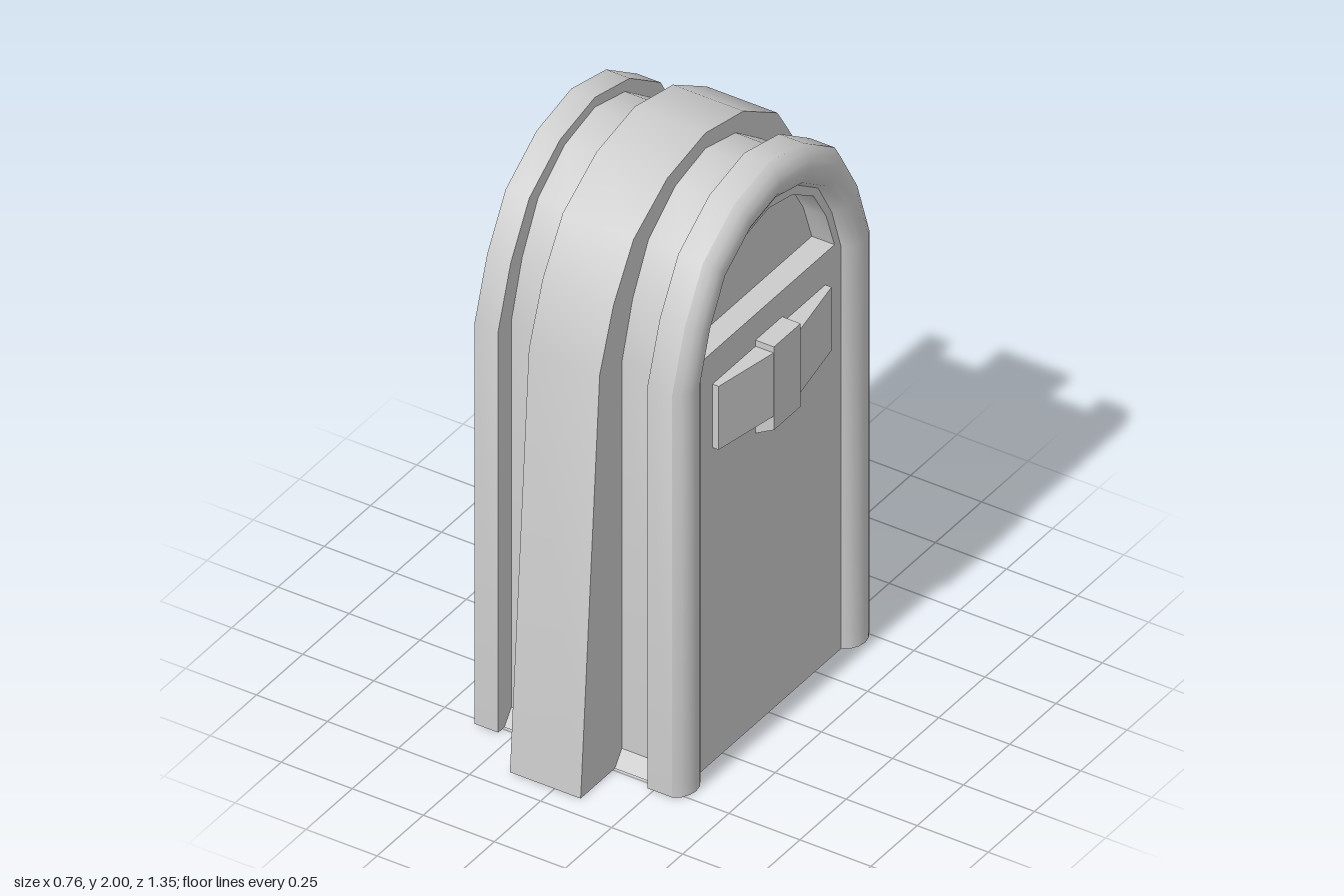
import * as THREE from 'three';
import { toCreasedNormals } from 'three/addons/utils/BufferGeometryUtils.js';

const CREASE = 0.6;
const FACE_X = 0.315; // plane of the front panel
const ARCH = [[1, 0], [0.87, 0.386], [0.68, 0.71], [0.36, 0.922]]; // half arch, as fractions

// Pointed-round arch as [z, y] points, from the +z side over the top to the -z side.
function archCurve(side, spring, top) {
  const half = ARCH.map(([w, h]) => [side * w, spring + (top - spring) * h]);
  return [...half, [0, top], ...half.map(([z, y]) => [-z, y]).reverse()];
}

// Arch with straight legs: side = half width at the spring, foot = at y 0.05, base = at y 0.
function legArch(side, spring, top, foot = side, base = side) {
  return [[base, 0], [foot, 0.05], ...archCurve(side, spring, top), [-foot, 0.05], [-base, 0]];
}

// Skin through sections [x, points], all with equal point counts.
function loft(sections) {
  const n = sections[0][1].length, pos = [], idx = [];
  for (const [x, pts] of sections) for (const [z, y] of pts) pos.push(x, y, z);
  for (let i = 0; i < sections.length - 1; i++) {
    for (let j = 0; j < n - 1; j++) {
      const a = i * n + j, b = a + n;
      idx.push(a, b, a + 1, a + 1, b, b + 1);
    }
  }
  const g = new THREE.BufferGeometry();
  g.setAttribute('position', new THREE.Float32BufferAttribute(pos, 3));
  g.setIndex(idx);
  return toCreasedNormals(g, CREASE);
}

const toShape = (pts) => new THREE.Shape(pts.map(([a, b]) => new THREE.Vector2(a, b)));

// Flat plate in the z-y plane at x, facing +x (dir 1) or -x (dir -1).
function plate(shape, x, dir = 1) {
  return new THREE.ShapeGeometry(shape).rotateY(dir * Math.PI / 2).translate(x, 0, 0);
}

export function createModel() {
  const group = new THREE.Group();
  const material = new THREE.MeshStandardMaterial({ color: 0xcccccc, side: THREE.DoubleSide });
  const add = (name, geometry) => {
    const mesh = new THREE.Mesh(geometry, material);
    mesh.name = name;
    group.add(mesh);
  };

  // Outer shell: back rib, groove, flared middle band, groove, front rib
  const rib = legArch(0.523, 1.445, 1.98);
  const groove = legArch(0.452, 1.44, 1.945, 0.452, 0.49);
  const band = legArch(0.572, 1.464, 2, 0.671, 0.675);
  add('shell', loft([
    [-0.38, rib], [-0.297, rib], [-0.297, groove], [-0.157, groove],
    [-0.157, band], [0.092, band], [0.092, groove], [0.228, groove],
    [0.228, rib], [FACE_X, rib],
  ]));
  add('backPanel', plate(toShape(rib), -0.38, -1));

  // Rounded rim around the front panel
  const rimProfile = [[FACE_X, 0.523], [0.338, 0.508], [0.352, 0.482], [0.357, 0.457],
    [0.352, 0.43], [0.338, 0.405], [FACE_X, 0.391]];
  add('frontRim', loft(rimProfile.map(([x, s]) => [x, legArch(s, 1.445, 1.457 + s)])));

  // Front panel with a recessed arched window
  const windowCurve = archCurve(0.355, 1.475, 1.815);
  const panel = toShape(legArch(0.391, 1.445, 1.848));
  panel.holes.push(new THREE.Path(toShape(windowCurve).getPoints()));
  add('frontPanel', plate(panel, FACE_X));
  const recessX = FACE_X - 0.08;
  const windowLoop = [...windowCurve, windowCurve[0]];
  add('windowRecess', loft([[FACE_X, windowLoop], [recessX, windowLoop]]));
  add('windowBack', plate(toShape(windowCurve), recessX));

  // Plaque: wings that taper toward their ends
  const wings = toShape([[FACE_X, -0.305], [0.337, -0.305], [0.379, -0.07],
    [0.379, 0.07], [0.337, 0.305], [FACE_X, 0.305]]);
  add('plaqueWings', new THREE.ExtrudeGeometry(wings, { depth: 0.228, bevelEnabled: false })
    .rotateX(-Math.PI / 2).translate(0, 1.132, 0));

  // Plaque: centre block with a sloped underside
  const block = toShape([[FACE_X, 1.047], [0.38, 1.083], [0.38, 1.382], [FACE_X, 1.382]]);
  add('plaqueCentre', new THREE.ExtrudeGeometry(block, { depth: 0.144, bevelEnabled: false })
    .translate(0, 0, -0.072));

  return group;
}
